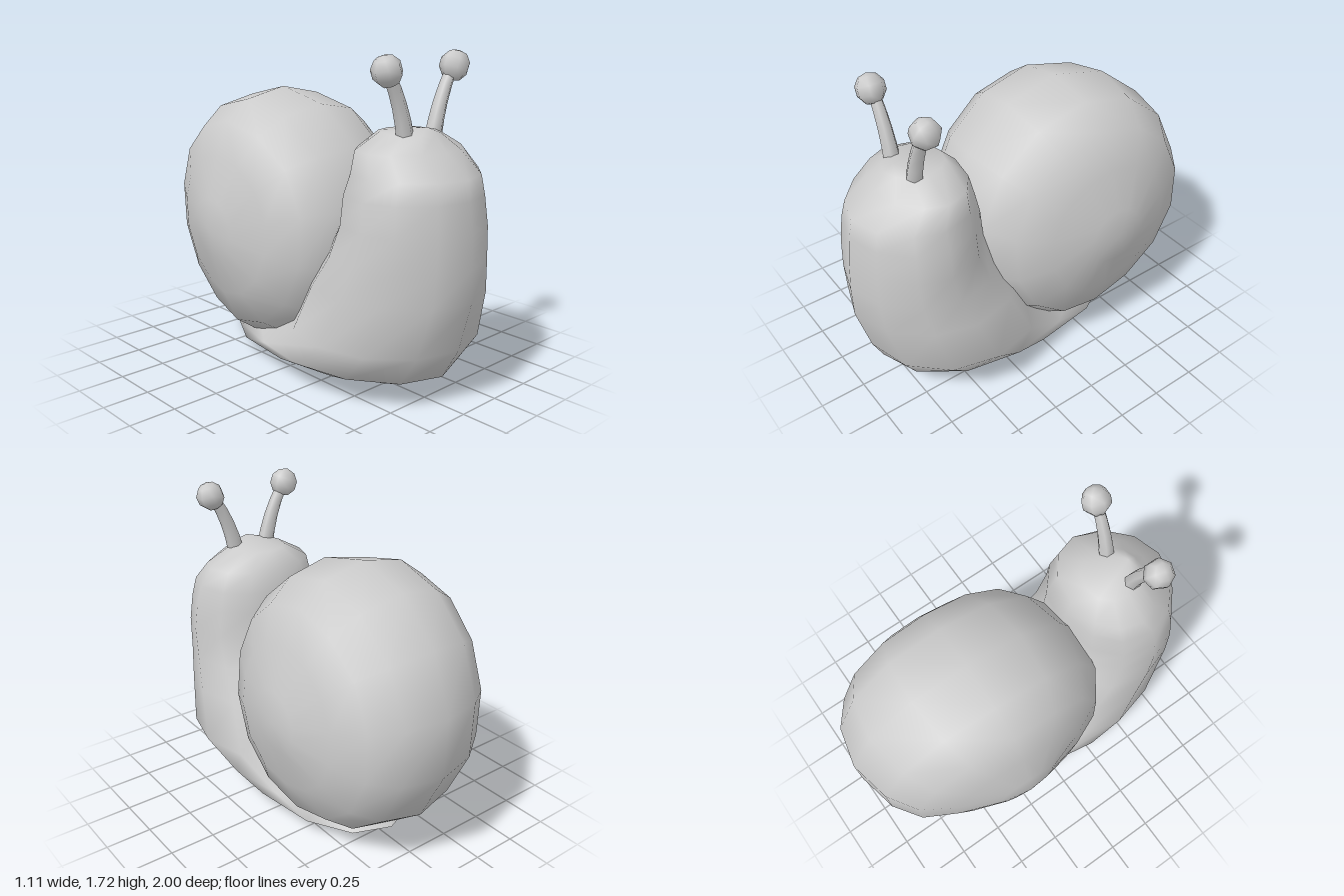
import * as THREE from 'three';
import { mergeVertices } from 'three/addons/utils/BufferGeometryUtils.js';

const material = new THREE.MeshStandardMaterial({ color: 0xcccccc });

// Signed power, used to shape round sections
const soften = (v, e) => Math.sign(v) * Math.pow(Math.abs(v), 2 / e);

// Weld seams and compute smooth normals
function smooth(geometry) {
  geometry.deleteAttribute('uv');
  geometry.deleteAttribute('normal');
  const welded = mergeVertices(geometry, 1e-4);
  welded.computeVertexNormals();
  return welded;
}

function addMesh(parent, name, geometry) {
  const mesh = new THREE.Mesh(geometry, material);
  mesh.name = name;
  parent.add(mesh);
  return mesh;
}

// Body: horizontal rings from the sole up to the crown, narrower in front than behind
function bodyGeometry() {
  const SEGMENTS = 12;
  // [y, front z, back z, min x, max x]
  const rings = [
    [0.0, 0.08, 0.08, 0.16, 0.16],
    [0.015, 0.32, -0.25, -0.1, 0.28],
    [0.045, 0.55, -0.45, -0.26, 0.34],
    [0.09, 0.72, -0.62, -0.36, 0.39],
    [0.15, 0.86, -0.35, -0.43, 0.43],
    [0.3, 0.93, -0.05, -0.44, 0.5],
    [0.56, 1.0, 0.08, -0.41, 0.46],
    [0.73, 1.0, 0.22, -0.39, 0.43],
    [0.9, 0.99, 0.3, -0.37, 0.42],
    [1.05, 0.97, 0.31, -0.35, 0.4],
    [1.15, 0.95, 0.33, -0.31, 0.37],
    [1.26, 0.82, 0.36, -0.27, 0.33],
    [1.34, 0.75, 0.44, -0.13, 0.17],
    [1.37, 0.7, 0.7, 0.02, 0.02],
  ];
  const positions = [], index = [];
  rings.forEach(([y, zf, zb, x0, x1], i) => {
    const frontShape = y > 0.5 ? 1.8 : 2;
    for (let j = 0; j < SEGMENTS; j++) {
      const a = (j / SEGMENTS) * Math.PI * 2;
      const shape = j > SEGMENTS / 2 ? 2.2 : frontShape;
      positions.push(
        (x0 + x1) / 2 + ((x1 - x0) / 2) * soften(Math.cos(a), shape),
        y,
        (zf + zb) / 2 + ((zf - zb) / 2) * soften(Math.sin(a), shape)
      );
      if (i === rings.length - 1) continue;
      const p = i * SEGMENTS + j, n = i * SEGMENTS + ((j + 1) % SEGMENTS);
      index.push(p, p + SEGMENTS, n, n, p + SEGMENTS, n + SEGMENTS);
    }
  });
  const geometry = new THREE.BufferGeometry();
  geometry.setAttribute('position', new THREE.Float32BufferAttribute(positions, 3));
  geometry.setIndex(index);
  return smooth(geometry);
}

// Shell: a lathe about the x axis, leaning a little, broader at the crown and the low front
function shellGeometry() {
  // [radius, half width]
  const half = [[0, 0.555], [0.16, 0.53], [0.38, 0.455], [0.56, 0.365], [0.665, 0.22]];
  const profile = [
    ...half.map(([r, w]) => new THREE.Vector2(r, -w)),
    new THREE.Vector2(0.715, 0),
    ...half.map(([r, w]) => new THREE.Vector2(r, w)).reverse(),
  ];
  const geometry = new THREE.LatheGeometry(profile, 14, Math.PI / 2).rotateZ(Math.PI / 2);
  const pos = geometry.attributes.position;
  for (let i = 0; i < pos.count; i++) {
    const y = pos.getY(i), z = pos.getZ(i);
    const crown = 0.25 * Math.max(0, y) ** 2;
    const lowFront = 0.2 * Math.max(0, z - y - 0.2);
    const lean = 0.07 * Math.max(0, -z) - 0.03 * y;
    pos.setX(i, pos.getX(i) * (1 + crown + lowFront) + lean);
  }
  return smooth(geometry);
}

// Tapered, outward-curving eye stalk; side is +1 (left) or -1 (right)
function stalkGeometry(side) {
  const curve = new THREE.QuadraticBezierCurve3(
    new THREE.Vector3(side * 0.1, 1.31, 0.65),
    new THREE.Vector3(side * 0.135, 1.49, 0.65),
    new THREE.Vector3(side * 0.225, 1.63, 0.65)
  );
  const STEPS = 4, SIDES = 6;
  const geometry = new THREE.TubeGeometry(curve, STEPS, 1, SIDES);
  const pos = geometry.attributes.position, centre = new THREE.Vector3(), v = new THREE.Vector3();
  for (let i = 0; i < pos.count; i++) {
    const t = Math.floor(i / (SIDES + 1)) / STEPS;
    curve.getPointAt(t, centre);
    v.fromBufferAttribute(pos, i).sub(centre).multiplyScalar(0.045 - 0.015 * t).add(centre);
    pos.setXYZ(i, v.x, v.y, v.z);
  }
  return smooth(geometry);
}

export function createModel() {
  const model = new THREE.Group();
  model.name = 'snail';

  addMesh(model, 'body', bodyGeometry());
  addMesh(model, 'shell', shellGeometry()).position.set(0, 0.775, -0.305);

  // Pair of eyes on stalks
  for (const side of [1, -1]) {
    const eye = new THREE.Group();
    eye.name = side > 0 ? 'leftEye' : 'rightEye';
    eye.position.x = 0.025;
    addMesh(eye, 'eyeStalk', stalkGeometry(side));
    const ball = addMesh(eye, 'eyeball', smooth(new THREE.SphereGeometry(0.078, 7, 5)));
    ball.position.set(side * 0.242, 1.645, 0.655);
    ball.rotation.z = side * -0.4;
    model.add(eye);
  }
  return model;
}
